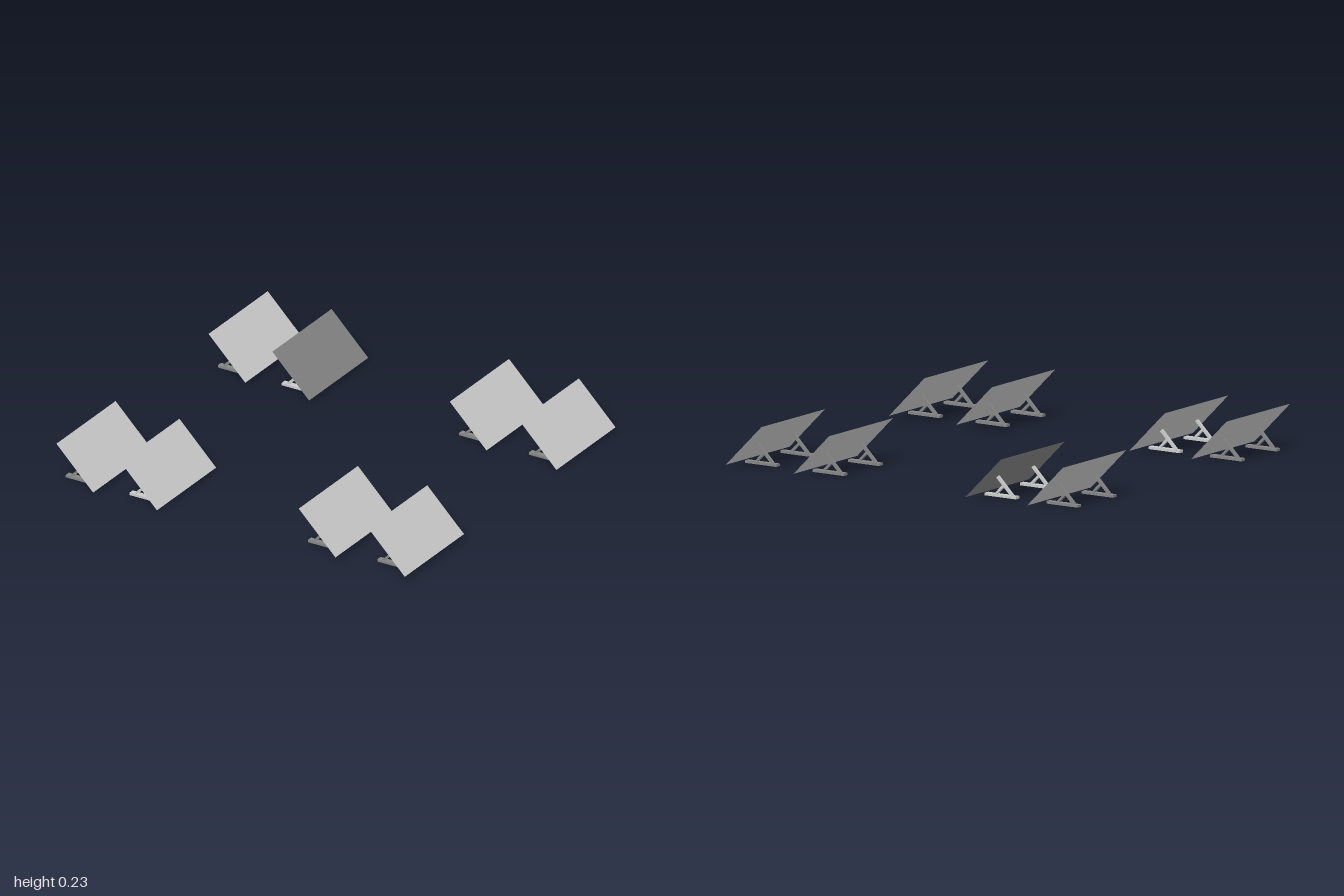
import * as THREE from 'three';

const LIGHT = 0xcccccc;
const DARK = 0x858585;

function material(color) {
  return new THREE.MeshStandardMaterial({ color, flatShading: true, side: THREE.DoubleSide });
}

// Square bar between two points in the xy plane
function bar(name, [x0, y0], [x1, y1], thickness, depth, mat) {
  const length = Math.hypot(x1 - x0, y1 - y0);
  const mesh = new THREE.Mesh(new THREE.BoxGeometry(length, thickness, depth), mat);
  mesh.position.set((x0 + x1) / 2, (y0 + y1) / 2, 0);
  mesh.rotation.z = Math.atan2(y1 - y0, x1 - x0);
  mesh.name = name;
  return mesh;
}

// Ground rail with a long strut up to the panel and a short brace
function createSupport(mat) {
  const support = new THREE.Group();
  support.name = 'support';
  support.add(
    bar('groundRail', [0, 0.0065], [0.185, 0.0065], 0.013, 0.03, mat),
    bar('panelStrut', [0.029, 0.011], [0.117, 0.099], 0.013, 0.016, mat),
    bar('brace', [0.078, 0.06], [0.127, 0.011], 0.012, 0.016, mat)
  );
  return support;
}

// One tilted panel on two supports, with its raised edge at local x = 0
function createUnit(panelColor, supportColor) {
  const unit = new THREE.Group();
  unit.name = 'solarPanelUnit';

  const geometry = new THREE.PlaneGeometry(0.298, 0.547);
  geometry.rotateX(-Math.PI / 2);
  geometry.rotateZ(-Math.PI / 4);
  const panel = new THREE.Mesh(geometry, material(panelColor));
  panel.position.set(0.105, 0.114, 0);
  panel.name = 'panel';
  unit.add(panel);

  const supportMaterial = material(supportColor);
  for (const z of [0.173, -0.13]) {
    const support = createSupport(supportMaterial);
    support.position.z = z;
    unit.add(support);
  }
  return unit;
}

export function createModel() {
  const model = new THREE.Group();
  model.name = 'solarPanelField';

  // x, y, z, panel colour, support colour
  const units = [
    [-1, 0, 0.703, LIGHT, DARK],
    [-0.634, 0, 0.703, LIGHT, LIGHT],
    [0.39, 0.014, 0.703, LIGHT, DARK],
    [0.788, 0.014, 0.703, LIGHT, DARK],
    [-1, 0, -0.702, LIGHT, DARK],
    [-0.634, 0, -0.702, DARK, LIGHT],
    [0.387, 0, -0.697, LIGHT, DARK],
    [0.788, 0, -0.697, LIGHT, DARK]
  ];
  for (const [x, y, z, panelColor, supportColor] of units) {
    const unit = createUnit(panelColor, supportColor);
    unit.position.set(x, y, z);
    model.add(unit);
  }
  return model;
}
